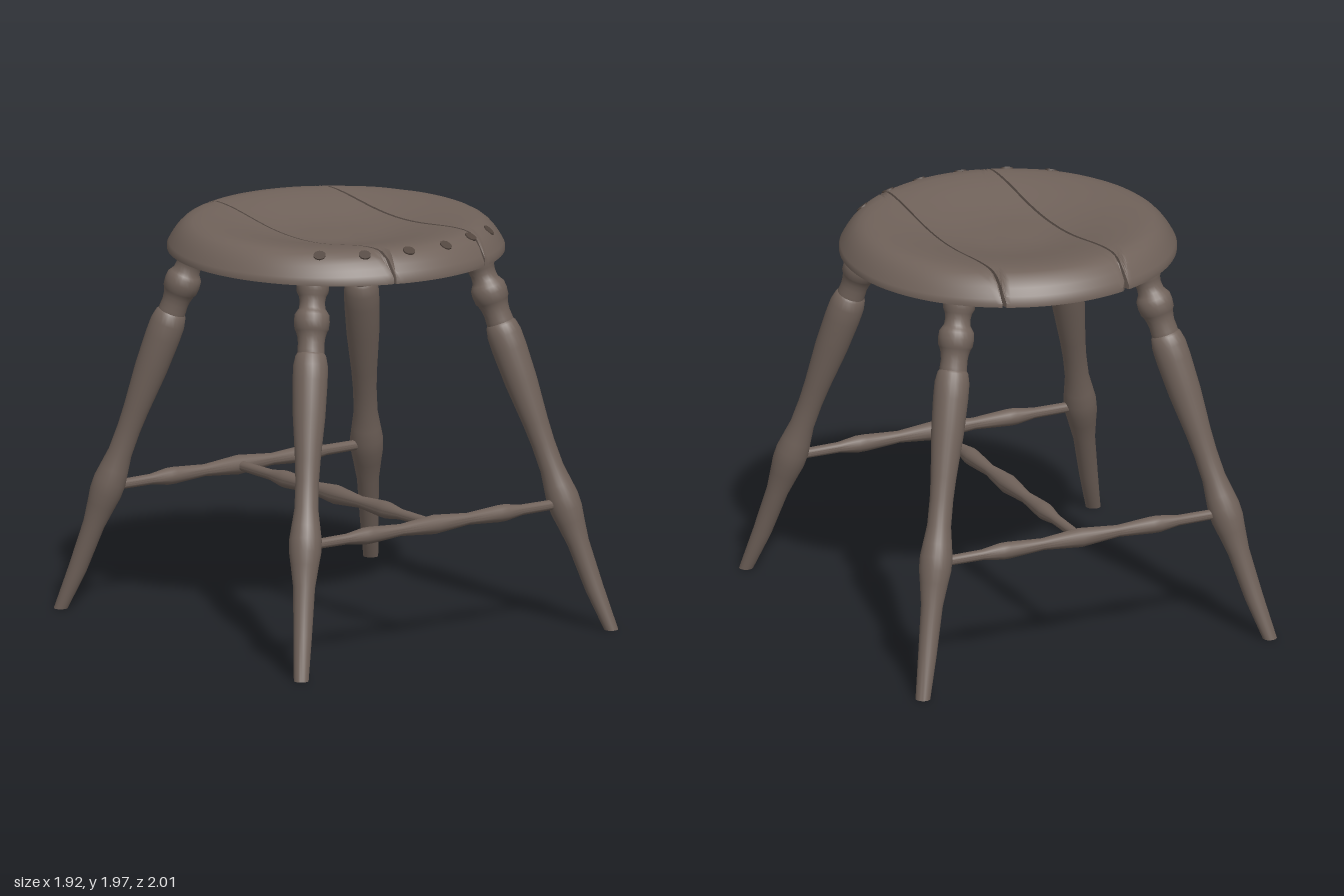
import * as THREE from 'three';
import { toCreasedNormals } from 'three/addons/utils/BufferGeometryUtils.js';

const wood = new THREE.MeshStandardMaterial({ color: 0x70625a });
wood.name = 'brown wood';
const holeDark = new THREE.MeshStandardMaterial({ color: 0x52463f });
holeDark.name = 'dark wood';

const RADIUS = 0.81;
const smooth = THREE.MathUtils.smoothstep;

// Seat heights: dished top with a rounded rim, flat underside with a raised edge
const topY = (r, z) =>
  1.9 + 0.07 * smooth(r, 0.15, 0.66) - 0.125 * Math.max(0, (r - 0.66) / 0.15) ** 2.4 - 0.006 * z;
const bottomY = (r, z) => 1.795 + 0.03 * smooth(r, 0.62, RADIUS) - 0.006 * z;

function addMesh(parent, name, geometry, material = wood) {
  const mesh = new THREE.Mesh(geometry, material);
  mesh.name = name;
  parent.add(mesh);
  return mesh;
}

// One plank: rings spread from its centre out to the round rim or to a straight cut x = a + b * z
function plankGeometry(cx, cuts) {
  const n = 240;
  const steps = [0, 0.15, 0.3, 0.45, 0.58, 0.7, 0.79, 0.86, 0.91, 0.95, 0.98, 1];
  const rows = [
    ...steps.map((s) => [s, topY]),
    ...steps.slice().reverse().map((s) => [s, bottomY]),
  ];
  const reach = (c, s) => {
    let length = -cx * c + Math.sqrt(cx * cx * c * c + RADIUS * RADIUS - cx * cx);
    for (const [a, b] of cuts) {
      const hit = (a - cx) / (c - b * s);
      if (hit > 0) length = Math.min(length, hit);
    }
    return length;
  };
  const positions = [];
  const index = [];
  rows.forEach(([t, height], i) => {
    for (let j = 0; j < n; j++) {
      const angle = (j / n) * Math.PI * 2;
      const c = Math.cos(angle);
      const s = Math.sin(angle);
      const d = reach(c, s) * t;
      const x = cx + d * c;
      const z = d * s;
      positions.push(x, height(Math.hypot(x, z), z), z);
      if (i === rows.length - 1) continue;
      const k = (j + 1) % n;
      const a = i * n + j;
      const b = i * n + k;
      index.push(a, b, a + n, b, b + n, a + n);
    }
  });
  const geometry = new THREE.BufferGeometry();
  geometry.setAttribute('position', new THREE.Float32BufferAttribute(positions, 3));
  geometry.setIndex(index);
  return toCreasedNormals(geometry, 0.7);
}

// Turned piece from [height, radius] pairs
function turned(profile, scale = 1, segments = 24) {
  const points = profile.map(([y, r]) => new THREE.Vector2(r, y * scale));
  return new THREE.LatheGeometry(points, segments);
}

// Splayed leg, trimmed flat at the floor
function legGeometry(sx, sz) {
  const foot = new THREE.Vector3(0.917 * sx, 0, 0.96 * sz);
  const axis = new THREE.Vector3(0.485 * sx, 1.82, 0.47 * sz).sub(foot);
  const geometry = turned([
    [-0.03, 0], [-0.03, 0.036], [0.2, 0.045], [0.42, 0.053], [0.52, 0.068], [0.58, 0.078],
    [0.64, 0.079], [0.7, 0.07], [0.78, 0.058], [0.9, 0.057], [1.0, 0.062], [1.2, 0.079],
    [1.36, 0.085], [1.43, 0.084], [1.475, 0.074], [1.485, 0.066], [1.5, 0.066], [1.53, 0.064],
    [1.56, 0.068], [1.585, 0.076], [1.595, 0.083], [1.63, 0.087], [1.66, 0.084], [1.675, 0.074],
    [1.69, 0.064], [1.72, 0.061], [1.745, 0.066], [1.765, 0.077], [1.79, 0.079], [1.83, 0.079],
    [1.83, 0],
  ], axis.length() / 1.82);
  geometry.applyQuaternion(
    new THREE.Quaternion().setFromUnitVectors(new THREE.Vector3(0, 1, 0), axis.normalize()));
  geometry.translate(foot.x, foot.y, foot.z);
  const p = geometry.attributes.position;
  for (let i = 0; i < p.count; i++) p.setY(i, Math.max(0, p.getY(i)));
  return toCreasedNormals(geometry, 0.6);
}

// Stretcher with three swellings
function stretcherGeometry() {
  const half = [[0, 0.047], [0.2, 0.029], [0.38, 0.041], [0.42, 0.041], [0.52, 0.026], [0.78, 0.024], [0.78, 0]];
  const mirrored = half.slice(1).reverse().map(([y, r]) => [-y, r]);
  return toCreasedNormals(turned([...mirrored, ...half], 1, 18), 0.6);
}

export function createModel() {
  const model = new THREE.Group();
  model.name = 'stool';

  // Seat of three planks with narrow gaps
  const seat = new THREE.Group();
  seat.name = 'seat';
  model.add(seat);
  const gap = 0.006;
  addMesh(seat, 'rightPlank', plankGeometry(-0.5, [[-0.24 - gap, 0.025]]));
  addMesh(seat, 'middlePlank', plankGeometry(0.06, [[-0.24 + gap, 0.025], [0.36 - gap, -0.0125]]));
  addMesh(seat, 'leftPlank', plankGeometry(0.57, [[0.36 + gap, -0.0125]]));

  // Row of peg holes along the front rim, showing above and below
  const disc = new THREE.CylinderGeometry(0.03, 0.03, 0.008, 10);
  const up = new THREE.Vector3(0, 1, 0);
  for (const [x, z] of [[-0.49, 0.53], [-0.31, 0.65], [-0.09, 0.71], [0.13, 0.71], [0.33, 0.64], [0.52, 0.53]]) {
    const r = Math.hypot(x, z);
    const slope = (topY(r + 0.02, z) - topY(r - 0.02, z)) / 0.04;
    const normal = new THREE.Vector3((-slope * x) / r, 1, (-slope * z) / r).normalize();
    const above = addMesh(seat, 'pegHoleTop', disc, holeDark);
    above.position.set(x, topY(r, z), z);
    above.quaternion.setFromUnitVectors(up, normal);
    const below = addMesh(seat, 'pegHoleBottom', disc, holeDark);
    below.position.set(x, bottomY(r, z), z);
    below.rotation.set((-0.2 * z) / r, 0, (0.2 * x) / r);
  }

  // Four legs
  for (const sz of [1, -1]) {
    for (const sx of [1, -1]) {
      const name = (sz > 0 ? 'front' : 'back') + (sx > 0 ? 'Left' : 'Right') + 'Leg';
      addMesh(model, name, legGeometry(sx, sz));
    }
  }

  // H-shaped stretchers
  const bar = stretcherGeometry();
  for (const sz of [1, -1]) {
    const side = addMesh(model, sz > 0 ? 'frontStretcher' : 'backStretcher', bar);
    side.rotation.z = Math.PI / 2;
    side.position.set(0, 0.61, 0.79 * sz);
  }
  const middle = addMesh(model, 'middleStretcher', bar);
  middle.rotation.x = Math.PI / 2;
  middle.position.y = 0.61;

  return model;
}
